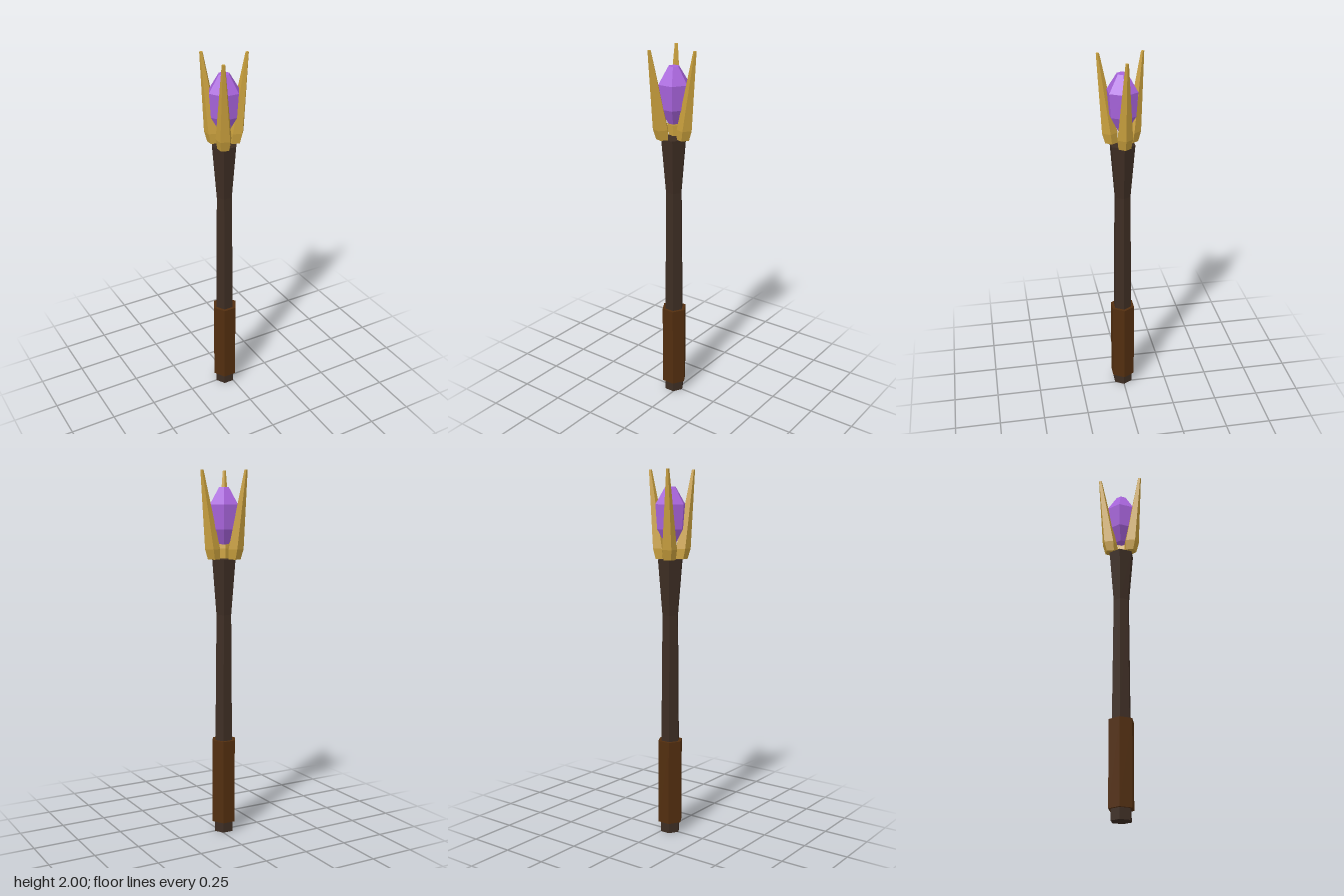
import * as THREE from 'three';

const flat = (name, color) => new THREE.MeshStandardMaterial({ name, color, flatShading: true });

// Closed, faceted solid through horizontal rings: [y, radius, centreX, centreZ]
function loft(rings, sides) {
  const pts = rings.map(([y, r, cx = 0, cz = 0]) =>
    Array.from({ length: sides }, (_, i) => {
      const a = (i / sides) * Math.PI * 2;
      return [cx + r * Math.cos(a), y, cz + r * Math.sin(a)];
    }));
  const out = [];
  const tri = (a, b, c) => out.push(...a, ...b, ...c);
  for (let k = 0; k < pts.length - 1; k++) {
    for (let i = 0; i < sides; i++) {
      const j = (i + 1) % sides;
      tri(pts[k][i], pts[k + 1][i], pts[k][j]);
      tri(pts[k][j], pts[k + 1][i], pts[k + 1][j]);
    }
  }
  // End caps
  const bottom = pts[0], top = pts[pts.length - 1];
  for (let i = 1; i < sides - 1; i++) {
    tri(bottom[0], bottom[i], bottom[i + 1]);
    tri(top[0], top[i + 1], top[i]);
  }
  const geo = new THREE.BufferGeometry();
  geo.setAttribute('position', new THREE.Float32BufferAttribute(out, 3));
  geo.computeVertexNormals();
  return geo;
}

export function createModel() {
  const darkWood = flat('darkWood', 0x3d2d23);
  const leather = flat('leather', 0x522e0f);
  const gold = flat('gold', 0xc79e3c);
  const purple = flat('purpleCrystal', 0xa864dc);

  const staff = new THREE.Group();
  staff.name = 'staff';
  staff.position.x = -0.029;
  const add = (name, geometry, material) => {
    const mesh = new THREE.Mesh(geometry, material);
    mesh.name = name;
    staff.add(mesh);
  };

  // Hexagonal shaft, flared at the head
  add('shaft', loft([[0, 0.057], [0.53, 0.053], [1.23, 0.046], [1.53, 0.072]], 6), darkWood);

  // Grip wrapped around the lower shaft
  add('grip', loft([[0.06, 0.071], [0.53, 0.071]], 6), leather);

  // Crystal
  add('crystal', loft([[1.61, 0.03], [1.69, 0.076], [1.82, 0.086], [1.91, 0.03]], 6), purple);

  // Three pentagonal prongs leaning outwards
  for (let n = 0; n < 3; n++) {
    const a = (n / 3) * Math.PI * 2;
    const rings = [[1.53, 0.035, 0.063], [1.585, 0.043, 0.072], [2, 0.009, 0.133]]
      .map(([y, r, d]) => [y, r, d * Math.cos(a), d * Math.sin(a)]);
    add(`prong${n + 1}`, loft(rings, 5), gold);
  }

  const model = new THREE.Group();
  model.name = 'model';
  model.add(staff);
  return model;
}
